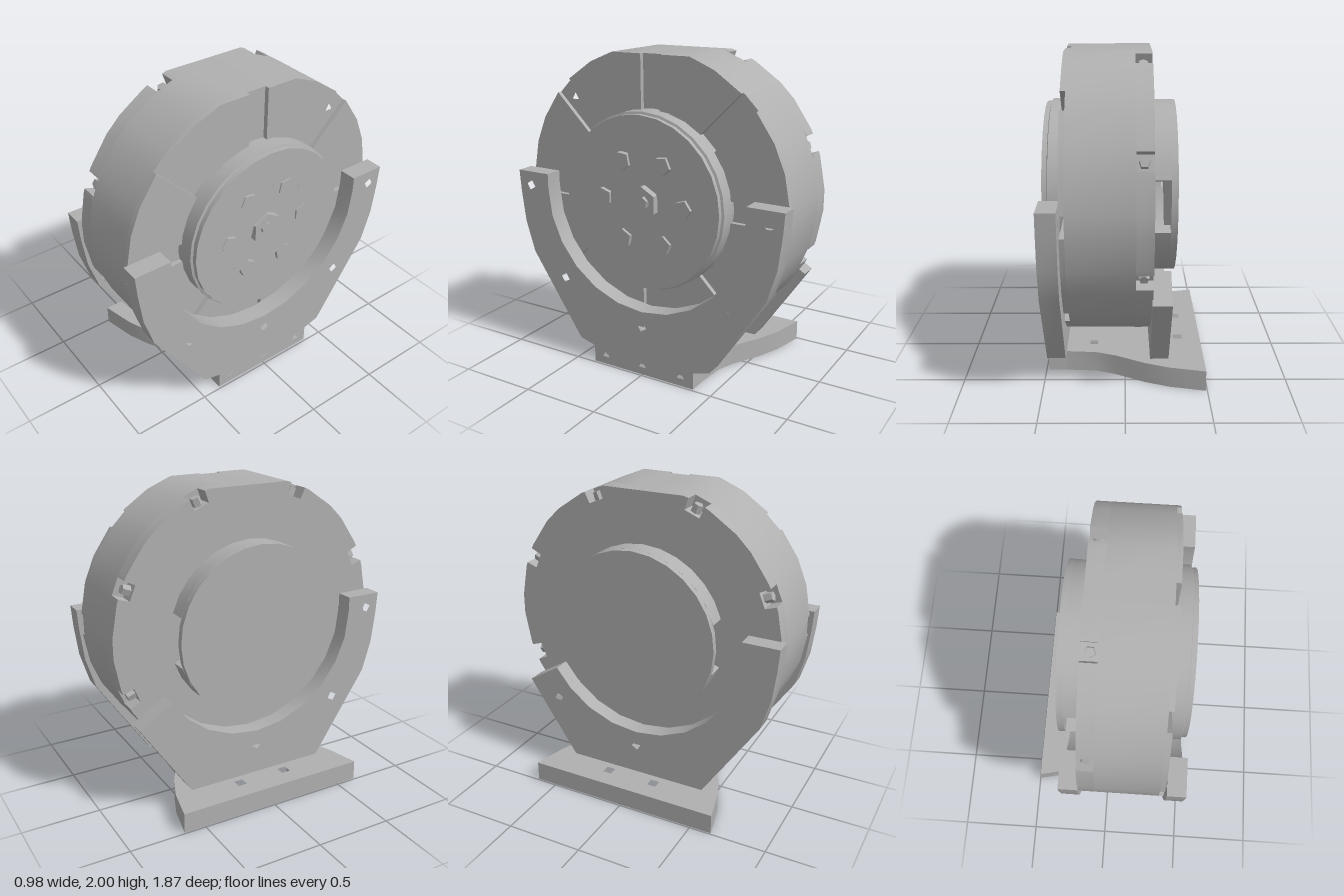
import * as THREE from 'three';
import { toCreasedNormals } from 'three/addons/utils/BufferGeometryUtils.js';

const CY = 1.13; // height of the wheel axis
const RIM = 0.91, FLAT = 0.87;

export function createModel() {
  const model = new THREE.Group();
  const grey = new THREE.MeshStandardMaterial({ color: 0xb0b0b0 });

  const rad = (d) => (d * Math.PI) / 180;
  // Point at radius r, clockwise angle from the top, as (-z, y)
  const polar = (r, deg, clip = 9) => {
    const y = r * Math.cos(rad(deg));
    return new THREE.Vector2(r * Math.sin(rad(deg)), CY + THREE.MathUtils.clamp(y, -clip, clip));
  };
  const ngon = (u, y, r, n, turn = 0) =>
    Array.from({ length: n }, (_, i) => {
      const a = rad(turn + (i * 360) / n);
      return new THREE.Vector2(u + r * Math.sin(a), y + r * Math.cos(a));
    });
  const toVec = (list) => list.map(([a, b]) => new THREE.Vector2(a, b));

  function add(name, geometry, crease = 0.6, parent = model) {
    const mesh = new THREE.Mesh(toCreasedNormals(geometry, crease), grey);
    mesh.name = name;
    parent.add(mesh);
    return mesh;
  }
  function extrude(points, depth, holes) {
    const shape = new THREE.Shape(points);
    shape.holes = holes.map((h) => new THREE.Path(h));
    return new THREE.ExtrudeGeometry(shape, { depth, bevelEnabled: false });
  }
  // Plate drawn in (-z, y) and thickened from x0 to x1
  function slab(name, points, x0, x1, holes = [], crease = 0.6) {
    const g = extrude(points, x1 - x0, holes).rotateY(Math.PI / 2).translate(x0, 0, 0);
    return add(name, g, crease);
  }

  const eight = [0, 1, 2, 3, 4, 5, 6, 7].map((k) => k * 45);
  const rimAngles = [4.1, 17, 28, 40.9];
  const holesAt = (r, size, n, angles) =>
    angles.map((a) => { const p = polar(r, a); return ngon(p.x, p.y, size, n); });

  // Drum body with screw holes in the bottoms of the radial slots
  const rim = eight.flatMap((a) => rimAngles.map((d) => polar(RIM, a + d, FLAT)));
  slab('drumBody', rim, -0.06, 0.33, holesAt(0.81, 0.028, 3, eight));

  // Drum back rim, notched for the clamp screws
  const notched = eight.flatMap((a) => [
    polar(RIM, a + 4.1, FLAT), polar(RIM, a + 17, FLAT), polar(RIM, a + 19, FLAT),
    polar(RIM - 0.075, a + 19), polar(RIM - 0.075, a + 26),
    polar(RIM, a + 26, FLAT), polar(RIM, a + 28, FLAT), polar(RIM, a + 40.9, FLAT),
  ]);
  slab('drumBackRim', notched, -0.16, -0.06, holesAt(0.68, 0.03, 3, eight));
  eight.forEach((a) => {
    const p = polar(RIM - 0.06, a + 22.5);
    const g = new THREE.CylinderGeometry(0.03, 0.035, 0.07, 5)
      .rotateX(-rad(a + 22.5)).translate(-0.105, p.y, -p.x);
    add('rimScrew', g, 0.3);
  });

  // Raised face sectors, leaving eight radial slots between them
  eight.forEach((a) => {
    const outer = rimAngles.map((d) => polar(RIM, a + d, FLAT));
    const inner = [37.6, 22.5, 7.4].map((d) => polar(0.5, a + d));
    slab('faceSector', [...outer, ...inner], 0.33, 0.36);
  });

  // Hub: base disc, then a pierced front plate with a chamfered edge
  const hubProfile = toVec([[0, 0.3], [0.55, 0.3], [0.55, 0.45], [0.535, 0.455], [0.535, 0.43], [0, 0.43]]);
  add('hubBase', new THREE.LatheGeometry(hubProfile, 28).rotateZ(-Math.PI / 2).translate(0, CY, 0));
  const six = [30, 90, 150, 210, 270, 330];
  const pocketHoles = six.map((a) => { const p = polar(0.28, a); return ngon(p.x, p.y, 0.088, 5, a); });
  const pinHoles = holesAt(0.325, 0.032, 3, six.map((a) => a + 30));
  slab('hubPlate', ngon(0, CY, 0.535, 28), 0.43, 0.485,
    [...pocketHoles, ...pinHoles, ngon(0, CY, 0.145, 7)]);

  // Bolt heads sunk in the pockets
  six.forEach((a) => {
    const p = polar(0.28, a);
    slab('hubBolt', ngon(p.x, p.y, 0.058, 5, a), 0.43, 0.47, [ngon(p.x, p.y, 0.03, 3, a)], 0.3);
  });
  slab('centreNut', ngon(0, CY, 0.105, 6), 0.43, 0.475, [ngon(0, CY, 0.06, 6, 20)], 0.3);
  slab('centrePin', ngon(0, CY, 0.035, 5), 0.43, 0.465, [], 0.3);

  // Back cap: disc carried by two wall arcs, open at both sides
  slab('backCap', ngon(0, CY, 0.545, 28), -0.31, -0.27);
  [0, 180].forEach((turn) => {
    const steps = Array.from({ length: 13 }, (_, i) => -73 + (i * 146) / 12);
    const outer = steps.map((d) => polar(0.545, turn + d));
    const inner = steps.map((d) => polar(0.46, turn + d)).reverse();
    slab('backCapWall', [...outer, ...inner], -0.27, -0.16);
  });

  // Cradle brackets: outer edge down one side, mirrored for the other
  const edge = [[0.935, 1.22], [0.925, 1.08], [0.9, 0.88], [0.84, 0.68], [0.48, 0.14]];
  const mirror = (list) => list.map(([u, y]) => [-u, y]).reverse();
  const cradle = [];
  for (let d = 90; d <= 270; d += 15) cradle.push(polar(0.7, d));
  const screwHoles = [[-0.84, 1.13], [-0.59, 0.54], [0, 0.33], [0.59, 0.54], [0.84, 1.13]]
    .map(([u, y]) => ngon(u, y, 0.033, 4, 15));
  const foot = [[0.37, 0.11], [0.37, 0]];
  const footHoles = [-0.28, 0, 0.28].map((u) => ngon(u, 0.065, 0.03, 3));
  slab('leftBracket',
    [...toVec([[0.7, 1.22], ...edge, ...foot, ...mirror(foot), ...mirror(edge), [-0.7, 1.22]]),
      ...cradle.slice().reverse()],
    0.37, 0.485, [...screwHoles, ...footHoles], 0.35);

  // The other bracket has one arm cut short
  const shortCradle = [polar(0.7, 121.7), ...cradle.slice(3)];
  slab('rightBracket',
    [...toVec([[0.81, 0.63], [0.475, 0.13], ...mirror(edge.slice(0, 4).concat([[0.475, 0.13]])), [-0.7, 1.22]]),
      ...shortCradle.reverse()],
    -0.27, -0.155, screwHoles.slice(0, 4), 0.35);

  // Base plate drawn in (x, -z), with a waisted outline and screw holes
  const side = [[-0.49, 0.64], [-0.27, 0.59], [-0.12, 0.53], [0.06, 0.43], [0.18, 0.385], [0.37, 0.37]];
  const baseHoles = [];
  for (const [x, v, r] of [[-0.345, 0.165, 0.042], [-0.21, 0.32, 0.035], [0.2, 0.24, 0.035]]) {
    baseHoles.push(ngon(x, v, r, 4, 45), ngon(x, -v, r, 4, 45));
  }
  const outline = [...side, ...side.map(([x, v]) => [x, -v]).reverse()];
  add('basePlate', extrude(toVec(outline), 0.13, baseHoles).rotateX(-Math.PI / 2), 0.5);

  return model;
}
